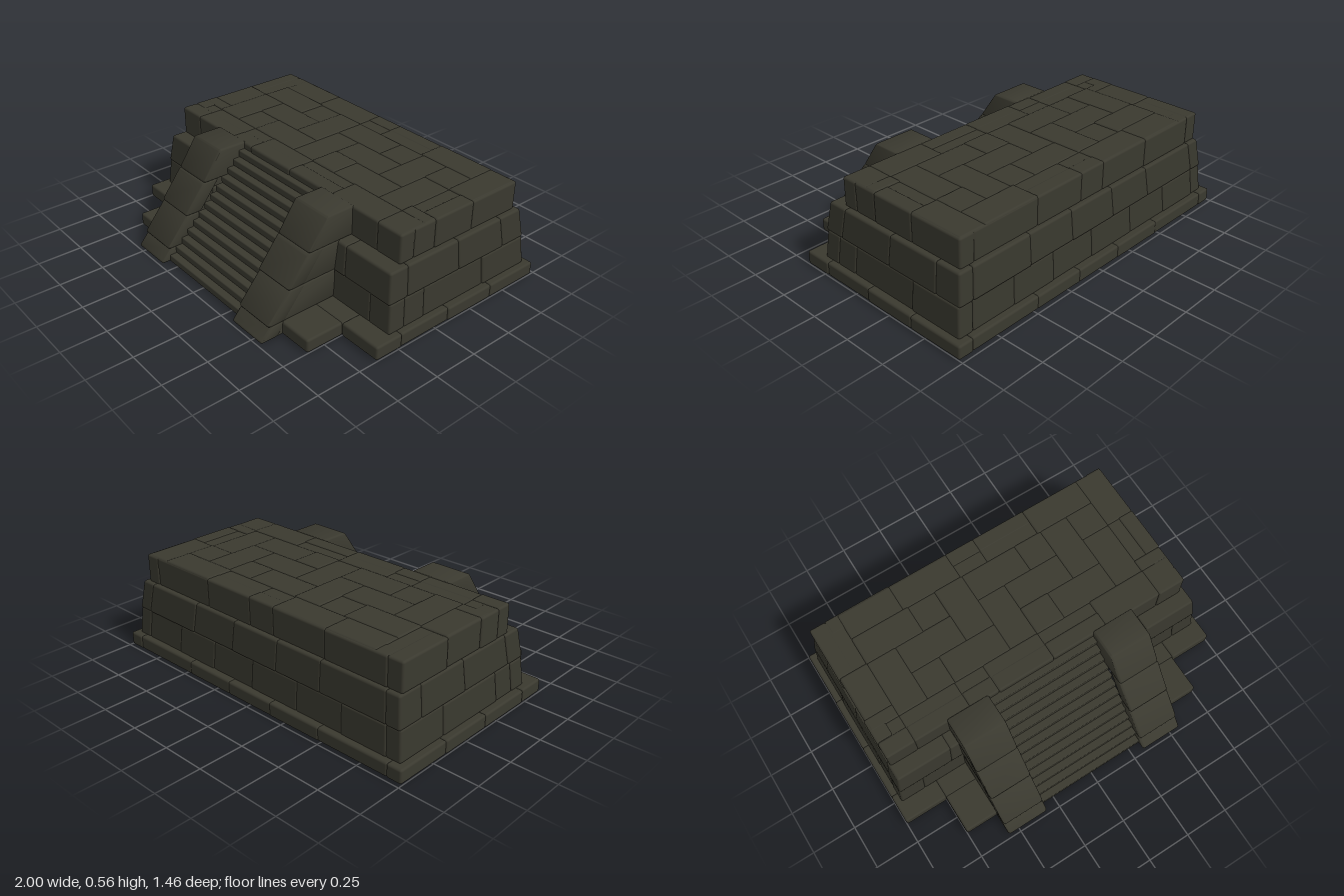
import * as THREE from 'three';
import { toCreasedNormals } from 'three/addons/utils/BufferGeometryUtils.js';
import { RoundedBoxGeometry } from 'three/addons/geometries/RoundedBoxGeometry.js';

const stoneMat = new THREE.MeshStandardMaterial({ color: 0x3a392f });
stoneMat.name = 'dark stone';

// small seeded generator for slight unevenness between stones
let seed = 7;
const jitter = (a) => {
  seed = (seed * 16807) % 2147483647;
  return (seed / 2147483647 - 0.5) * 2 * a;
};

function add(parent, geometry, name) {
  const mesh = new THREE.Mesh(geometry, stoneMat);
  mesh.name = name;
  parent.add(mesh);
}

function group(parent, name) {
  const g = new THREE.Group();
  g.name = name;
  parent.add(g);
  return g;
}

// rounded block given by its limits
function block(x0, x1, y0, y1, z0, z1, r = 0.012) {
  const g = new RoundedBoxGeometry(x1 - x0, y1 - y0, z1 - z0, 2, r);
  g.translate((x0 + x1) / 2, (y0 + y1) / 2, (z0 + z1) / 2);
  return g;
}

// overlap of neighbouring stones, so that no light passes through the joints
const o = 0.004;

// one course of wall stones around a hollow core, leaning inwards by "lean"
function course(parent, name, c) {
  const g = group(parent, name);
  const { x0, x1, y0, y1, z0, z1, t, lean, frontDepth } = c;
  const cz = (z0 + z1) / 2;
  const stone = (a, b, d, e) => {
    const geo = block(a, b, y0 - (y0 > 0 ? o : 0), y1 + jitter(0.002), d, e);
    const p = geo.attributes.position;
    for (let i = 0; i < p.count; i++) {
      const k = lean * (p.getY(i) - y0) / (y1 - y0);
      p.setX(i, p.getX(i) * (1 - k / x1));
      p.setZ(i, cz + (p.getZ(i) - cz) * (1 - k / (z1 - cz)));
    }
    add(g, geo, 'wallStone');
  };
  // the two ends
  const ends = [z1 - frontDepth, ...c.sideSeams, z0];
  for (let i = 0; i < ends.length - 1; i++) {
    const d = ends[i + 1] - (i < ends.length - 2 ? o : 0);
    stone(x1 - t, x1 + jitter(0.003), d, ends[i]);
    stone(x0 + jitter(0.003), x0 + t, d, ends[i]);
  }
  // back
  const back = [x0 + t, ...c.backSeams, x1 - t];
  for (let i = 0; i < back.length - 1; i++) {
    stone(back[i] - o, back[i + 1] + o, z0 + jitter(0.003), z0 + t);
  }
  // front, either side of the stairs or right across
  for (const run of c.frontRuns) {
    for (let i = 0; i < run.length - 1; i++) {
      stone(run[i], run[i + 1] + (i < run.length - 2 ? o : 0), z1 - frontDepth - o, z1 + jitter(0.002));
    }
  }
}

// ramp stone whose front slopes from zBottom back to zTop;
// the back is upright, or parallel to the front for a facing slab
function rampBlock(parent, name, x0, x1, y0, y1, zBack, zBottom, zTop, isSlab) {
  let geo = new RoundedBoxGeometry(x1 - x0, y1 - y0, zBottom - zBack, 3, 0.014);
  geo.translate((x0 + x1) / 2, (y0 + y1) / 2, (zBottom + zBack) / 2);
  const p = geo.attributes.position;
  for (let i = 0; i < p.count; i++) {
    const up = (p.getY(i) - y0) / (y1 - y0);
    const share = isSlab ? 1 : (p.getZ(i) - zBack) / (zBottom - zBack);
    p.setZ(i, p.getZ(i) - (zBottom - zTop) * up * share);
  }
  geo = toCreasedNormals(geo, 0.7);
  add(parent, geo, name);
}

export function createModel() {
  const model = new THREE.Group();
  model.name = 'steppedStonePlatform';

  // wall courses from the ground up
  course(model, 'baseCourse', {
    x0: -0.998, x1: 0.998, y0: 0, y1: 0.076, z0: -0.73, z1: 0.39, t: 0.09, lean: 0, frontDepth: 0.16,
    sideSeams: [-0.09, -0.4], backSeams: [-0.48, -0.15, 0.16, 0.47],
    frontRuns: [[-0.998, -0.75, -0.5], [0.5, 0.75, 0.998]],
  });
  course(model, 'lowerCourse', {
    x0: -0.962, x1: 0.962, y0: 0.076, y1: 0.235, z0: -0.693, z1: 0.284, t: 0.09, lean: 0.015, frontDepth: 0.1,
    sideSeams: [0.05, -0.375], backSeams: [-0.6, -0.3, 0.02, 0.32, 0.6],
    frontRuns: [[-0.962, -0.82, -0.5], [0.5, 0.82, 0.962]],
  });
  course(model, 'middleCourse', {
    x0: -0.948, x1: 0.948, y0: 0.235, y1: 0.395, z0: -0.685, z1: 0.276, t: 0.09, lean: 0.022, frontDepth: 0.12,
    sideSeams: [-0.2, -0.525], backSeams: [-0.45, -0.15, 0.17, 0.48],
    frontRuns: [[-0.948, -0.63, -0.5], [0.5, 0.63, 0.948]],
  });
  course(model, 'upperCourse', {
    x0: -0.918, x1: 0.898, y0: 0.395, y1: 0.554, z0: -0.642, z1: 0.17, t: 0.09, lean: 0, frontDepth: 0.09,
    sideSeams: [-0.06, -0.32], backSeams: [-0.45, -0.1, 0.07, 0.39],
    frontRuns: [[-0.918, -0.756, -0.43, -0.26, 0.07, 0.4, 0.736, 0.898]],
  });

  // deck paving: a border of slabs around a herringbone field
  const deck = group(model, 'deckPaving');
  const slab = (a, b, d, e) => add(deck,
    block(a - o, b + o, 0.485, 0.554 + jitter(0.004), d - o, e + o), 'pavingSlab');
  const frontX = [-0.91, -0.756, -0.43, -0.26, 0.07, 0.4, 0.736, 0.89];
  const backX = [-0.756, -0.45, -0.1, 0.07, 0.39, 0.736];
  const sideZ = [-0.634, -0.32, -0.06, 0.008];
  for (let i = 0; i < frontX.length - 1; i++) slab(frontX[i], frontX[i + 1], 0.008, 0.162);
  for (let i = 0; i < backX.length - 1; i++) slab(backX[i], backX[i + 1], -0.634, -0.48);
  for (let i = 0; i < sideZ.length - 1; i++) {
    slab(-0.91, -0.756, sideZ[i], sideZ[i + 1]);
    slab(0.736, 0.89, sideZ[i], sideZ[i + 1]);
  }
  const nx = 9, nz = 3, ux = 1.492 / nx, uz = 0.488 / nz;
  for (let i = -1; i < nx; i++) {
    for (let j = -1; j < nz; j++) {
      const m = (((i - j) % 4) + 4) % 4;
      if (m !== 0 && m !== 3) continue;
      const a = Math.max(i, 0), b = Math.min(i + (m === 0 ? 2 : 1), nx);
      const d = Math.max(j, 0), e = Math.min(j + (m === 3 ? 2 : 1), nz);
      if (b <= a || e <= d) continue;
      slab(-0.756 + a * ux, -0.756 + b * ux, -0.48 + d * uz, -0.48 + e * uz);
    }
  }

  // stairs, open underneath
  const stairs = group(model, 'stairs');
  for (let i = 0; i < 13; i++) {
    const z = 0.685 - i * 0.04;
    add(stairs, block(-0.325, 0.325, i * 0.04, (i + 1) * 0.04, z - 0.075, z, 0.006), 'step');
  }

  // hollow side ramps and low plinths, mirrored; rows are [y0, y1, zBack, zBottom, zTop]
  const rows = [
    [0, 0.078, 0.38, 0.738, 0.668],
    [0.074, 0.238, 0.27, 0.692, 0.555],
    [0.234, 0.398, 0.24, 0.568, 0.44],
  ];
  for (const s of [-1, 1]) {
    const ramp = group(model, s > 0 ? 'leftRamp' : 'rightRamp');
    const span = (a, b) => (s > 0 ? [a, b] : [-b, -a]);
    for (const [y0, y1, zBack, zBottom, zTop] of rows) {
      rampBlock(ramp, 'rampFacing', ...span(0.318, 0.564), y0, y1, zBottom - 0.1, zBottom, zTop, true);
      rampBlock(ramp, 'rampSide', ...span(0.5, 0.563), y0, y1, zBack, zBottom - 0.02, zTop - 0.02, false);
    }
    rampBlock(ramp, 'rampTop', ...span(0.318, 0.564), 0.394, 0.559, 0.155, 0.442, 0.325, false);
    const [a, b] = span(0.54, 0.75);
    add(model, block(a, b, 0, 0.075, 0.38, 0.605), s > 0 ? 'leftPlinth' : 'rightPlinth');
  }
  return model;
}
